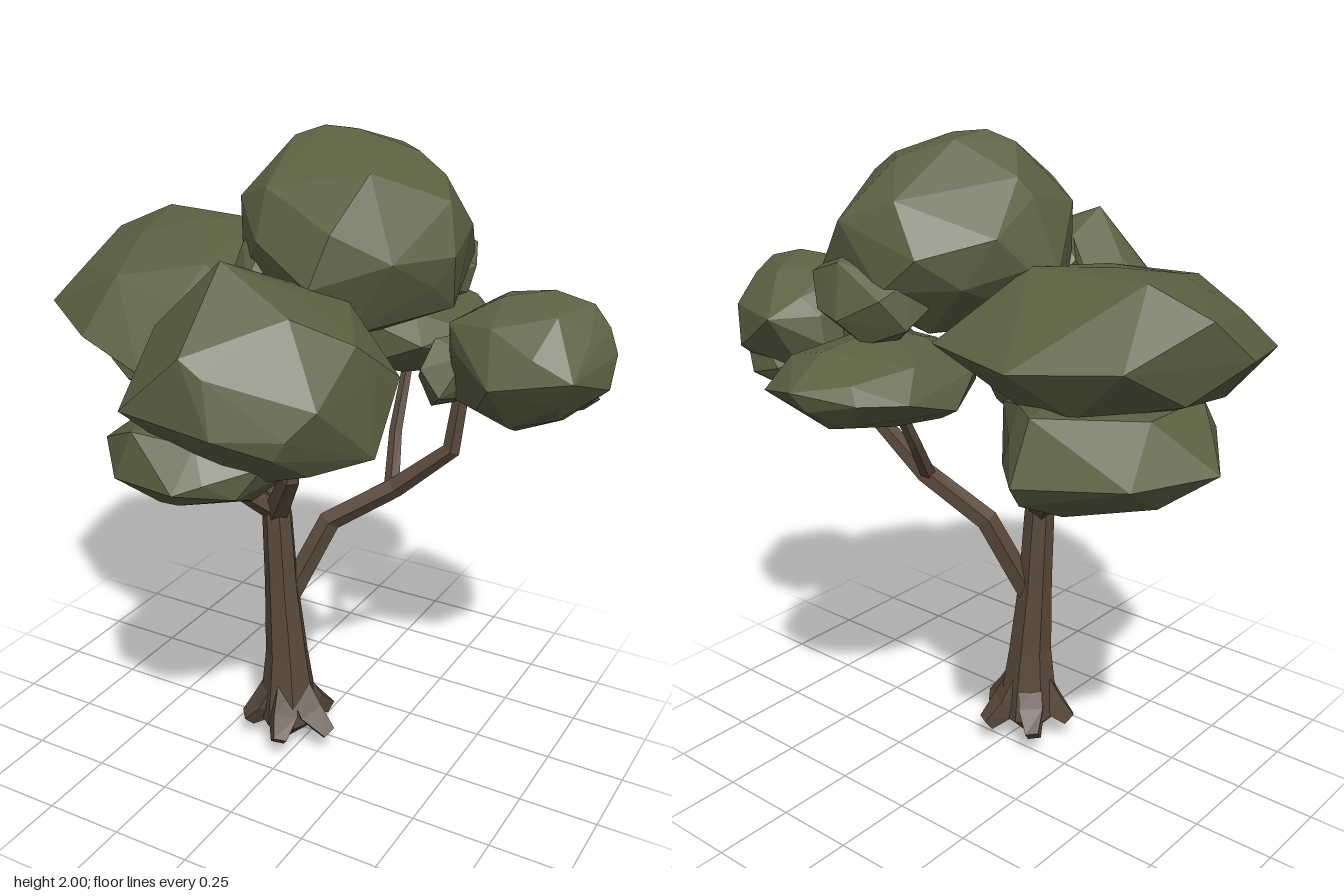
import * as THREE from 'three';
import { ConvexGeometry } from 'three/addons/geometries/ConvexGeometry.js';

const V = (x, y, z) => new THREE.Vector3(x, y, z);

function seeded(seed) {
  let s = seed * 7919 + 17;
  return () => (s = (s * 16807) % 2147483647) / 2147483647;
}

// Joins rings of equal point count into a faceted skin
function loft(rings) {
  const pos = [], n = rings[0].length;
  const tri = (...pts) => pts.forEach((p) => pos.push(p.x, p.y, p.z));
  for (let i = 0; i < rings.length - 1; i++) {
    for (let j = 0; j < n; j++) {
      const k = (j + 1) % n, a = rings[i], b = rings[i + 1];
      tri(a[j], b[k], b[j]);
      tri(a[j], a[k], b[k]);
    }
  }
  const geo = new THREE.BufferGeometry();
  geo.setAttribute('position', new THREE.Float32BufferAttribute(pos, 3));
  geo.computeVertexNormals();
  return geo;
}

// Tapering limb along [x, y, z, radius] stations, closed at the tip
function limb(stations, sides = 5) {
  const pts = stations.map((s) => V(s[0], s[1], s[2]));
  const rings = pts.map((p, i) => {
    const t = pts[Math.min(i + 1, pts.length - 1)].clone().sub(pts[Math.max(i - 1, 0)]).normalize();
    const u = t.clone().cross(V(0, 0.1, 1)).normalize(), w = t.clone().cross(u);
    return Array.from({ length: sides }, (_, j) => {
      const a = j / sides * Math.PI * 2;
      return p.clone().addScaledVector(u, Math.cos(a) * stations[i][3]).addScaledVector(w, Math.sin(a) * stations[i][3]);
    });
  });
  rings.push(rings[0].map(() => pts[pts.length - 1]));
  return loft(rings);
}

// Faceted clump: jittered points over an ellipsoid plus a few outline corners
function clump(center, radii, seed, corners = [], count = 36) {
  const rnd = seeded(seed), pts = corners.map((c) => V(...c));
  for (let i = 0; i < count; i++) {
    const y = 1 - 2 * (i + 0.5) / count, r = Math.sqrt(1 - y * y);
    const a = i * 2.39996 + (rnd() - 0.5) * 0.7, k = 0.95 + rnd() * 0.09;
    pts.push(V(
      center[0] + radii[0] * r * Math.cos(a) * k,
      center[1] + radii[1] * y * k,
      center[2] + radii[2] * r * Math.sin(a) * k));
  }
  return new ConvexGeometry(pts);
}

export function createModel() {
  const tree = new THREE.Group();
  tree.name = 'tree';
  const bark = new THREE.MeshStandardMaterial({ color: 0x5a493b });
  bark.name = 'bark brown';
  const leaf = new THREE.MeshStandardMaterial({ color: 0x5b6042 });
  leaf.name = 'leaf green';
  const add = (name, geo, mat) => {
    const m = new THREE.Mesh(geo, mat);
    m.name = name;
    tree.add(m);
  };

  // Trunk: [x, y, z, radius] rings from the pointed foot to the fork
  const trunk = [
    [-0.05, 0.0, 0.07, 0.0], [-0.045, 0.095, 0.07, 0.1], [-0.045, 0.18, 0.07, 0.09],
    [-0.05, 0.33, 0.07, 0.07], [-0.065, 0.58, 0.075, 0.054], [-0.075, 0.82, 0.08, 0.048],
    [-0.08, 0.91, 0.08, 0.035], [-0.08, 0.92, 0.08, 0.0],
  ];
  add('trunk', loft(trunk.map(([x, y, z, r]) => Array.from({ length: 7 }, (_, j) => {
    const a = -j / 7 * Math.PI * 2;
    return V(x + Math.cos(a) * r, y, z + Math.sin(a) * r);
  }))), bark);

  // Flared roots
  for (let i = 0; i < 5; i++) {
    const a = (i + 0.1) / 5 * Math.PI * 2, c = Math.cos(a), s = Math.sin(a);
    add('root', limb([
      [-0.045 + c * 0.03, 0.22, 0.07 + s * 0.03, 0.05],
      [-0.04 + c * 0.08, 0.13, 0.07 + s * 0.075, 0.055],
      [-0.035 + c * 0.15, 0.075, 0.065 + s * 0.14, 0.03]], 4), bark);
  }

  // Branches
  const branches = {
    longBranch: [[-0.055, 0.52, 0.065, 0.038], [0.05, 0.79, -0.03, 0.037], [0.24, 0.92, -0.10, 0.034],
      [0.41, 1.07, -0.13, 0.029], [0.43, 1.28, -0.15, 0.023]],
    backTwig: [[0.23, 0.92, -0.10, 0.025], [0.19, 1.06, -0.2, 0.021], [0.17, 1.28, -0.33, 0.016]],
    leftBranch: [[-0.08, 0.83, 0.08, 0.042], [-0.23, 0.97, -0.08, 0.036], [-0.34, 1.1, -0.12, 0.03], [-0.37, 1.24, -0.14, 0.024]],
    frontLeftBranch: [[-0.08, 0.84, 0.08, 0.04], [-0.2, 1.01, 0.25, 0.032], [-0.21, 1.24, 0.28, 0.024]],
    frontBranch: [[-0.08, 0.83, 0.08, 0.042], [0.03, 1.01, 0.18, 0.033], [0.05, 1.22, 0.18, 0.024]],
  };
  for (const [name, path] of Object.entries(branches)) add(name, limb(path), bark);

  // Foliage clumps
  add('leftFoliage', clump([-0.41, 1.46, -0.03], [0.41, 0.2, 0.44], 3, [
    [-0.84, 1.47, 0.0], [-0.8, 1.6, -0.15], [-0.63, 1.68, -0.2], [-0.25, 1.67, -0.2], [-0.45, 1.68, -0.1],
    [-0.7, 1.5, -0.4], [-0.43, 1.48, -0.53], [-0.1, 1.48, -0.43], [-0.78, 1.45, 0.23],
    [-0.52, 1.43, 0.42], [-0.3, 1.36, 0.45], [-0.7, 1.32, 0.1], [-0.35, 1.2, 0.22],
    [-0.1, 1.2, 0.13], [-0.55, 1.26, 0.15]]), leaf);
  add('lowerLeftFoliage', clump([-0.49, 1.24, -0.16], [0.32, 0.14, 0.31], 5, [
    [-0.87, 1.22, -0.2], [-0.76, 1.22, -0.44], [-0.45, 1.18, -0.53], [-0.06, 1.22, -0.08],
    [-0.51, 1.07, -0.38], [-0.38, 1.08, -0.31], [-0.5, 1.08, -0.15], [-0.45, 1.12, -0.49],
    [-0.75, 1.13, -0.3], [-0.72, 1.36, -0.3], [-0.72, 1.36, -0.05], [-0.45, 1.35, -0.45],
    [-0.25, 1.12, 0.05]], 28), leaf);
  add('frontFoliage', clump([0.05, 1.38, 0.36], [0.34, 0.28, 0.33], 8, [
    [-0.03, 1.72, 0.43], [0.12, 1.66, 0.38], [-0.32, 1.3, 0.4], [0.4, 1.22, 0.36], [0.39, 1.4, 0.2],
    [0.27, 1.33, 0.61], [0.1, 1.33, 0.7], [-0.2, 1.35, 0.68], [0.2, 1.1, 0.2], [0.03, 1.1, 0.1],
    [0.31, 1.52, 0.3], [-0.27, 1.5, 0.4], [0.0, 1.53, 0.68]]), leaf);
  add('lowerFrontFoliage', clump([-0.07, 1.19, 0.48], [0.28, 0.125, 0.25], 11, [
    [-0.35, 1.19, 0.48], [0.0, 1.17, 0.735], [-0.16, 1.3, 0.68], [-0.02, 1.07, 0.5], [-0.2, 1.08, 0.52],
    [-0.12, 1.08, 0.62]], 24), leaf);
  add('topFoliage', clump([0.08, 1.69, -0.11], [0.35, 0.28, 0.36], 14, [
    [0.0, 2.0, -0.08], [0.09, 1.99, -0.12], [-0.08, 1.97, -0.05], [0.03, 1.98, -0.18], [0.24, 1.93, -0.2],
    [0.38, 1.82, -0.12], [0.43, 1.68, -0.05], [0.41, 1.52, -0.1], [-0.2, 1.84, -0.12], [-0.29, 1.64, -0.12],
    [0.14, 1.62, 0.27], [0.05, 1.86, 0.1], [0.2, 1.78, -0.47], [0.05, 1.6, -0.47], [0.33, 1.6, -0.43],
    [-0.02, 1.66, -0.44], [0.2, 1.47, 0.15], [-0.2, 1.52, 0.0]], 32), leaf);
  add('topFrontTuft', clump([-0.09, 1.58, 0.09], [0.13, 0.13, 0.11], 17, [[-0.05, 1.78, 0.1]], 16), leaf);
  add('topBackTuft', clump([0.16, 1.56, -0.39], [0.2, 0.15, 0.14], 20, [[0.15, 1.52, -0.54]], 18), leaf);
  add('rightFoliage', clump([0.63, 1.38, -0.18], [0.24, 0.2, 0.25], 23, [
    [0.87, 1.34, -0.14], [0.84, 1.5, -0.2], [0.54, 1.44, -0.45], [0.68, 1.59, -0.18], [0.54, 1.56, -0.2],
    [0.79, 1.56, -0.2], [0.76, 1.44, -0.38], [0.6, 1.36, 0.09], [0.82, 1.4, 0.03], [0.6, 1.16, -0.15],
    [0.42, 1.49, -0.05], [0.4, 1.24, -0.12]]), leaf);
  add('rightLowerTuft', clump([0.65, 1.26, -0.28], [0.15, 0.09, 0.12], 32, [], 16), leaf);
  add('rightInnerTuft', clump([0.4, 1.32, -0.15], [0.1, 0.13, 0.15], 26, [], 16), leaf);
  add('backFoliage', clump([0.12, 1.34, -0.42], [0.29, 0.13, 0.3], 29, [
    [0.13, 1.37, -0.74], [-0.05, 1.35, -0.67], [0.3, 1.33, -0.68], [0.41, 1.34, -0.5],
    [0.12, 1.48, -0.4], [0.15, 1.23, -0.58]], 26), leaf);

  return tree;
}
